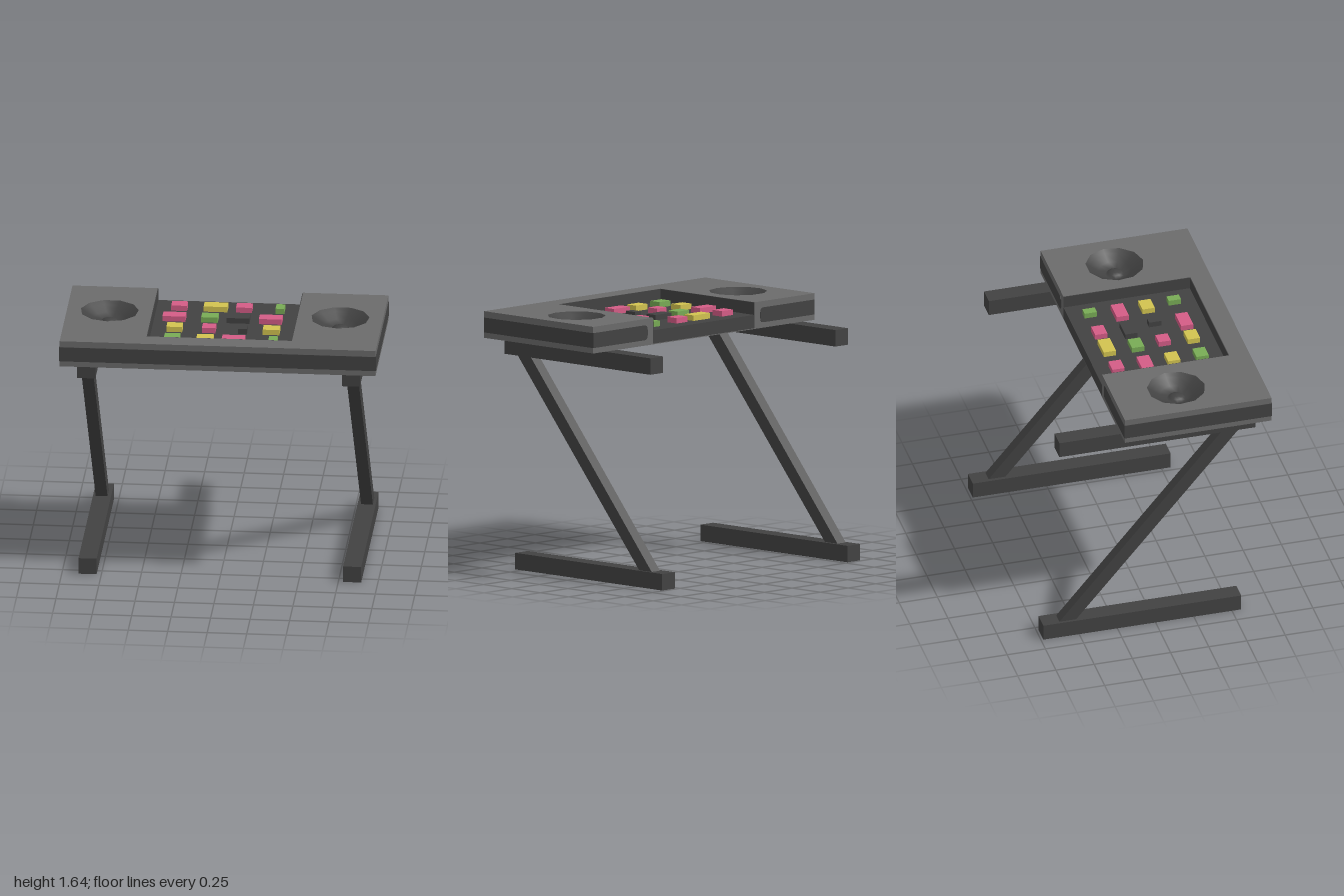
import * as THREE from 'three';

const mat = (name, color, side = THREE.FrontSide) => {
  const m = new THREE.MeshStandardMaterial({ color, side });
  m.name = name;
  return m;
};

export function createModel() {
  const group = new THREE.Group();
  const grey = mat('casing grey', 0x6b6b6b);
  const dark = mat('charcoal', 0x424242, THREE.DoubleSide);
  const pink = mat('pad pink', 0xd45c86);
  const yellow = mat('pad yellow', 0xd2c350);
  const green = mat('pad green', 0x78ab55);

  const add = (name, geometry, material) => {
    const mesh = new THREE.Mesh(geometry, material);
    mesh.name = name;
    group.add(mesh);
    return mesh;
  };
  // Box given by its limits on each axis
  const box = (name, material, x0, x1, y0, y1, z0, z1) => {
    const mesh = add(name, new THREE.BoxGeometry(x1 - x0, y1 - y0, z1 - z0), material);
    mesh.position.set((x0 + x1) / 2, (y0 + y1) / 2, (z0 + z1) / 2);
    return mesh;
  };
  const shapeOf = (pts) => new THREE.Shape(pts.map(([x, y]) => new THREE.Vector2(x, y)));

  const TOP = 1.64, BASE = 1.47, FLOOR = 1.56;
  const FRONT = 0.73, BACK = -0.23, WELL = 0.46;
  const SIDES = 11, CONE_R = 0.185, CONE_X = 0.73, CONE_Z = 0.18;

  // Casing: U-shaped outline with two speaker openings
  const outline = shapeOf([
    [-1, -FRONT], [1, -FRONT], [1, -BACK], [WELL, -BACK],
    [WELL, -0.6], [-WELL, -0.6], [-WELL, -BACK], [-1, -BACK],
  ]);
  for (const s of [-1, 1]) {
    const ring = [];
    for (let i = 0; i < SIDES; i++) {
      const a = (i / SIDES) * Math.PI * 2;
      ring.push(new THREE.Vector2(s * CONE_X + CONE_R * Math.sin(a), -CONE_Z - CONE_R * Math.cos(a)));
    }
    outline.holes.push(new THREE.Path(ring));
  }
  const casing = new THREE.ExtrudeGeometry(outline, { depth: TOP - BASE - 0.005, bevelEnabled: false });
  casing.rotateX(-Math.PI / 2);
  add('casing', casing, grey).position.y = BASE + 0.005;
  box('underside', grey, -1, 1, BASE, BASE + 0.005, BACK, FRONT);

  // Sunken control panel with dark walls
  box('controlPanel', dark, -WELL, WELL, BASE + 0.005, FLOOR, BACK, 0.6);
  box('wellFrontWall', dark, -WELL, WELL, FLOOR, TOP - 0.001, 0.596, 0.6);
  for (const s of [-1, 1]) {
    const wall = box('wellSideWall', dark, WELL - 0.004, WELL, FLOOR, TOP - 0.001, BACK, 0.6);
    wall.position.x *= s;
  }

  // Dark band around the front, the sides and the rear of both ends
  const B0 = 1.505, B1 = 1.6, T = 0.003;
  box('frontBand', dark, -1, 1, B0, B1, FRONT, FRONT + T);
  for (const s of [-1, 1]) {
    const side = box('sideBand', dark, 1, 1 + T, B0, B1, BACK, FRONT);
    side.position.x *= s;
    const r = 0.03, x = 0.51;
    const plate = new THREE.Shape();
    plate.moveTo(s, B0);
    plate.lineTo(s * (x + r), B0);
    plate.quadraticCurveTo(s * x, B0, s * x, B0 + r);
    plate.lineTo(s * x, B1 - r);
    plate.quadraticCurveTo(s * x, B1, s * (x + r), B1);
    plate.lineTo(s, B1);
    const rear = new THREE.ExtrudeGeometry(plate, { depth: T, bevelEnabled: false, curveSegments: 5 });
    add('rearBand', rear, dark).position.z = BACK - T;
  }

  // Speaker cones with a small central dome
  const profile = [[CONE_R, TOP], [0.155, 1.622], [0.105, 1.59], [0.06, 1.565], [0.045, 1.58], [0.022, 1.588], [0, 1.59]]
    .map(([r, y]) => new THREE.Vector2(r, y));
  for (const s of [-1, 1]) {
    const cone = add('speakerCone', new THREE.LatheGeometry(profile, SIDES), dark);
    cone.position.set(s * CONE_X, 0, CONE_Z);
  }

  // Pads: [material, left edge, right edge] in each row
  const rows = [
    [-0.095, [pink, -0.36, -0.26], [yellow, -0.155, -0.005], [pink, 0.05, 0.15], [green, 0.3, 0.355]],
    [0.09, [pink, -0.4, -0.255], [green, -0.155, -0.05], [dark, 0.005, 0.15], [pink, 0.21, 0.355]],
    [0.27, [yellow, -0.36, -0.26], [pink, -0.135, -0.05], [dark, 0.095, 0.15], [yellow, 0.25, 0.355]],
    [0.455, [green, -0.36, -0.26], [yellow, -0.155, -0.05], [pink, 0.005, 0.15], [green, 0.3, 0.355]],
  ];
  for (const [z, ...pads] of rows) {
    for (const [material, x0, x1] of pads) {
      box('pad', material, x0, x1, FLOOR, FLOOR + 0.035, z - 0.04, z + 0.04);
    }
  }

  // Z-shaped stand on each side: top rail, slanted strut and foot
  const strutShape = shapeOf([[0.625, 0.105], [0.515, 0.105], [-0.555, 1.365], [-0.44, 1.365]].reverse());
  for (const s of [-1, 1]) {
    box('topRail', dark, 0.78, 0.895, 1.365, BASE, -0.63, 0.655).position.x *= s;
    box('foot', dark, 0.78, 0.895, 0, 0.105, -0.735, 0.56).position.x *= s;
    const strut = new THREE.ExtrudeGeometry(strutShape, { depth: 0.075, bevelEnabled: false });
    strut.translate(0, 0, -0.0375);
    strut.rotateY(Math.PI / 2);
    add('strut', strut, dark).position.x = s * 0.84;
  }
  return group;
}
